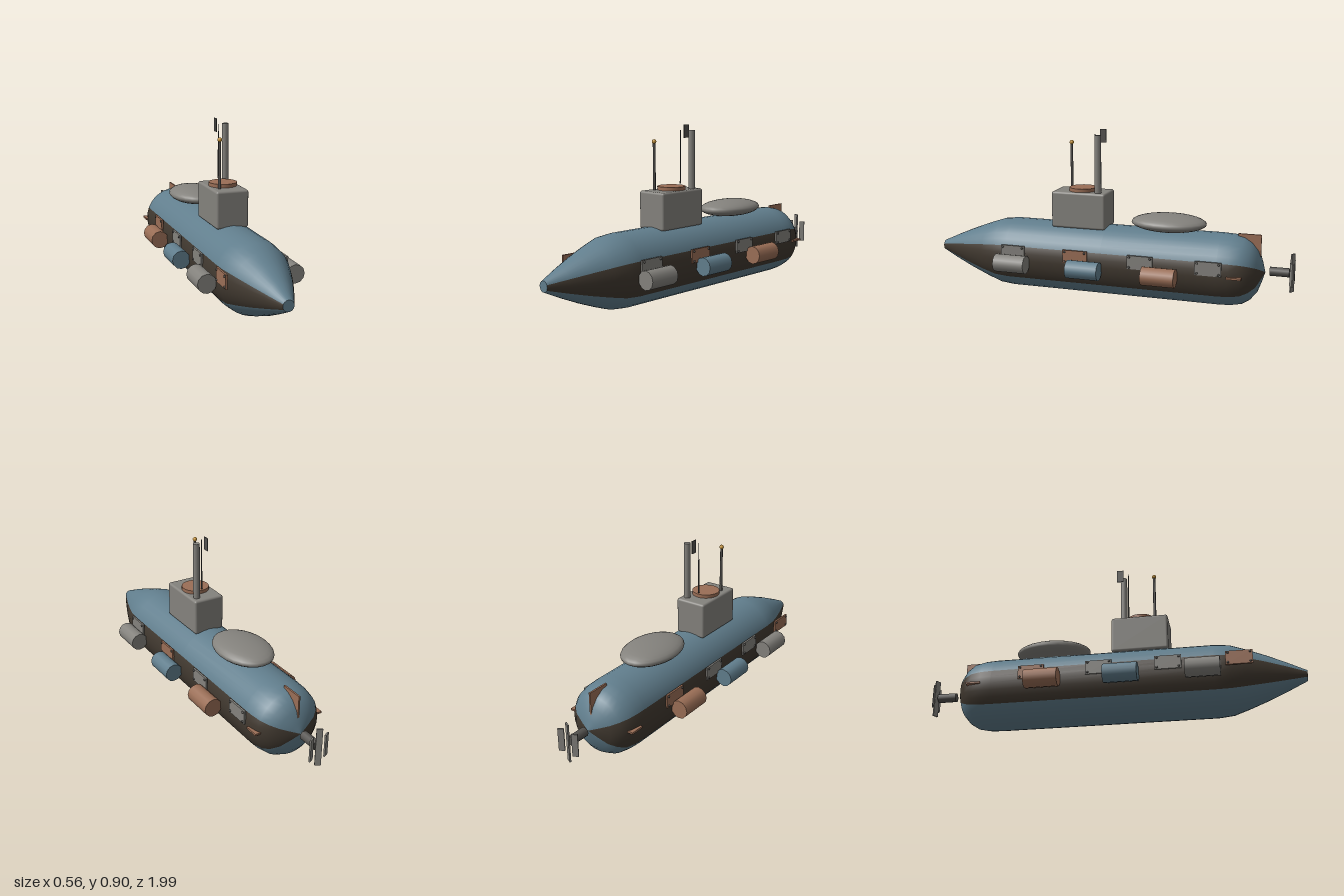
import * as THREE from 'three';
import { RoundedBoxGeometry } from 'three/addons/geometries/RoundedBoxGeometry.js';

const mat = (name, color) => {
  const m = new THREE.MeshStandardMaterial({ color });
  m.name = name;
  return m;
};

export function createModel() {
  const blue = mat('blueSteel', 0x617e8d);
  const brown = mat('darkBrown', 0x40382f);
  const grey = mat('grey', 0x84827d);
  const copper = mat('copper', 0x9a6e56);
  const dark = mat('darkMetal', 0x54524f);
  const gold = mat('brass', 0xc8963c);

  const model = new THREE.Group();
  model.name = 'submarine';
  const AXIS = 0.19; // height of the hull axis

  const add = (name, geo, material, x = 0, y = 0, z = 0, parent = model) => {
    const mesh = new THREE.Mesh(geo, material);
    mesh.name = name;
    mesh.position.set(x, y, z);
    parent.add(mesh);
    return mesh;
  };
  const box = (w, h, d) => new THREE.BoxGeometry(w, h, d);
  const cyl = (r1, r2, h, n) => new THREE.CylinderGeometry(r1, r2, h, n);

  // Hull: one profile (radius, z) from stern to nose, swept in coloured sectors
  const profile = [
    [0, -0.845], [0.05, -0.83], [0.11, -0.808], [0.15, -0.775], [0.176, -0.735],
    [0.187, -0.68], [0.19, -0.62], [0.19, 0], [0.19, 0.54], [0.182, 0.62],
    [0.155, 0.7], [0.117, 0.8], [0.074, 0.9], [0.028, 1],
  ].map(([r, z]) => new THREE.Vector2(r, z));
  const step = Math.PI / 16;
  const sector = (name, material, start, count) => {
    const g = new THREE.LatheGeometry(profile, count, start * step, count * step);
    g.rotateX(Math.PI / 2);
    add(name, g, material, 0, AXIS, 0);
  };
  sector('hullTop', blue, 10, 12);
  sector('hullBottom', blue, -5, 10);
  sector('hullBandLeft', brown, 5, 5);
  sector('hullBandRight', brown, 22, 5);
  add('noseCap', new THREE.CircleGeometry(0.028, 32), blue, 0, AXIS, 1);

  // Conning tower with hatch
  add('tower', new RoundedBoxGeometry(0.174, 0.196, 0.302, 3, 0.012), grey, 0, 0.463, 0.152);
  add('hatch', cyl(0.074, 0.074, 0.02, 24), copper, 0, 0.57, 0.152);

  // Masts on the tower
  add('slimMast', cyl(0.007, 0.008, 0.25, 8), dark, -0.046, 0.685, 0.232);
  add('mastBall', new THREE.SphereGeometry(0.012, 12, 8), gold, -0.046, 0.814, 0.232);
  add('periscope', cyl(0.018, 0.018, 0.31, 12), grey, 0.051, 0.715, 0.049);
  add('antenna', cyl(0.002, 0.004, 0.285, 6), dark, 0, 0.728, 0.082);
  add('pennant', box(0.005, 0.07, 0.035), dark, 0, 0.862, 0.036);

  // Flattened pod behind the tower
  add('rearPod', new THREE.SphereGeometry(1, 24, 14), grey, 0, 0.416, -0.33).scale.set(0.139, 0.046, 0.202);

  // Stern fins
  add('rudder', box(0.009, 0.19, 0.12), copper, 0, 0.29, -0.76);
  add('sternPlanes', box(0.394, 0.01, 0.075), copper, 0, 0.195, -0.712);

  // Propeller: shaft and four upright, twisted blades
  const shaft = cyl(0.024, 0.024, 0.1, 12);
  shaft.rotateX(Math.PI / 2);
  add('propellerShaft', shaft, dark, 0, 0.197, -0.918);
  for (let i = 0; i < 4; i++) {
    const a = (i * Math.PI) / 2;
    const blade = add('propellerBlade', box(0.03, 0.12, 0.008), grey,
      Math.sin(a) * 0.043, 0.197 + Math.cos(a) * 0.041, -0.982);
    blade.rotation.y = i % 2 ? 0.5 : -0.5;
  }

  // Side tanks, mirrored
  const tank = cyl(0.049, 0.049, 0.175, 12);
  tank.rotateX(Math.PI / 2);
  [[0.485, grey], [0.073, blue], [-0.335, copper]].forEach(([z, m]) => {
    for (const s of [-1, 1]) add('sideTank', tank, m, s * 0.231, 0.18, z);
  });

  // Riveted patch plates along both sides
  const plate = (side, z, material) => {
    const g = new THREE.Group();
    g.name = 'patchPlate';
    g.position.set(side * 0.191, 0.235, z);
    add('plate', box(0.01, 0.072, 0.136), material, 0, 0, 0, g);
    const rivet = new THREE.SphereGeometry(0.006, 8, 6);
    for (const y of [-0.026, 0.026]) {
      for (const dz of [-0.056, 0.056]) add('rivet', rivet, dark, side * 0.006, y, dz, g);
    }
    model.add(g);
  };
  [grey, copper, grey, grey].forEach((m, i) => plate(1, 0.49 - i * 0.357, m));
  [copper, grey, grey, copper].forEach((m, i) => plate(-1, 0.665 - i * 0.356, m));

  return model;
}
